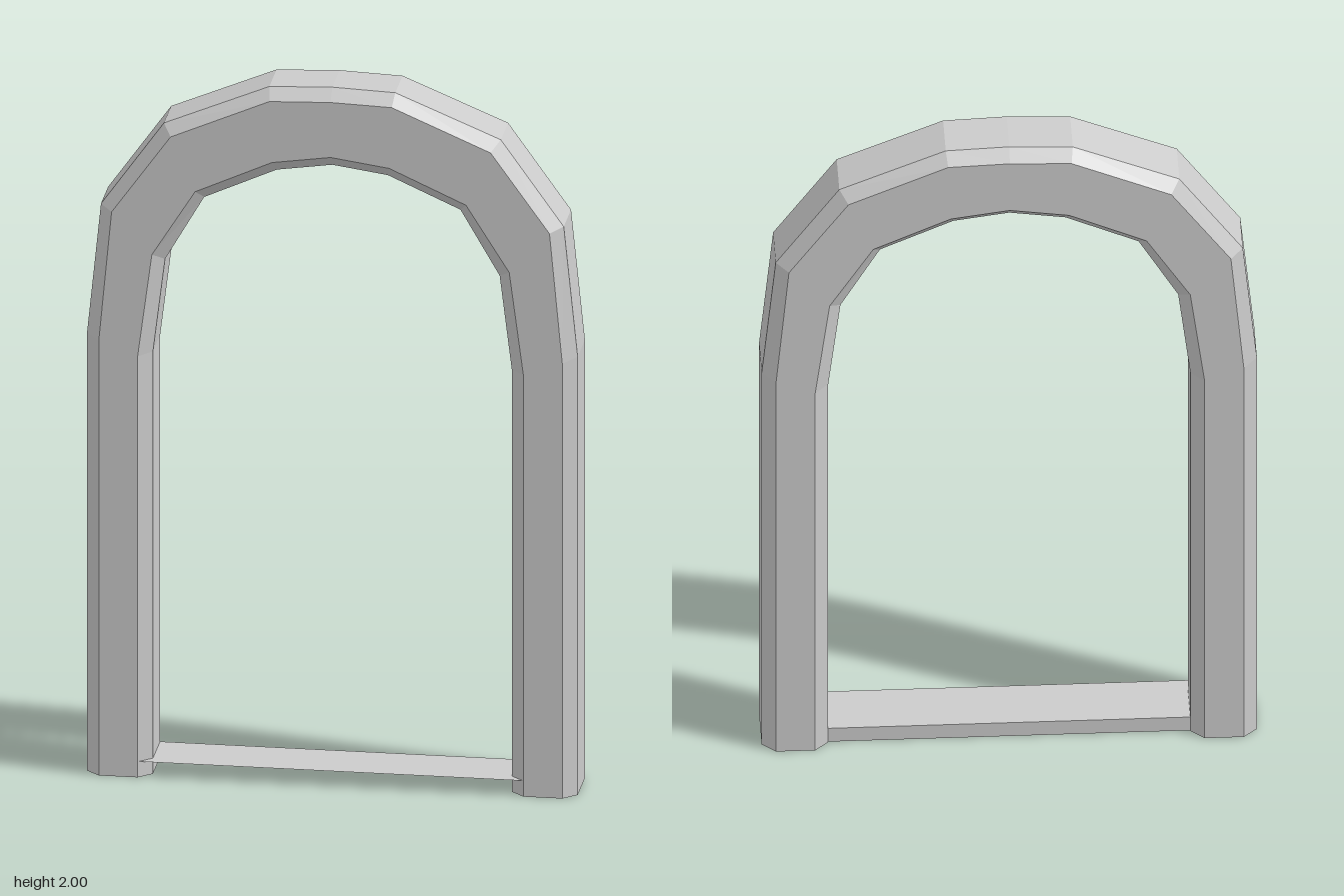
import * as THREE from 'three';

const material = new THREE.MeshStandardMaterial({
  color: 0xcccccc, flatShading: true, side: THREE.DoubleSide,
});

// Half outlines [x, y] from foot to crown: outer wall, the two face edges, inner wall
const OUTER = [[0.67, 0], [0.67, 1.26], [0.632, 1.632], [0.46, 1.873], [0.172, 1.993], [0, 2]];
const FACE_OUTER = [[0.633, 0], [0.633, 1.25], [0.598, 1.622], [0.437, 1.846], [0.167, 1.962], [0, 1.968]];
const FACE_INNER = [[0.527, 0], [0.527, 1.21], [0.488, 1.505], [0.37, 1.692], [0.16, 1.787], [0, 1.81]];
const INNER = [[0.49, 0], [0.49, 1.215], [0.457, 1.482], [0.35, 1.666], [0.152, 1.755], [0, 1.777]];
const FACE_Z = 0.102, WALL_Z = 0.068;

// Mirror a half outline into a full arch, +x foot to -x foot
function fullArch(half) {
  const mirrored = half.slice(0, -1).reverse().map(([x, y]) => [-x, y]);
  return [...half, ...mirrored];
}

// Chamfered eight-sided section swept along the arch, open at the feet
function archGeometry() {
  const rails = [
    [OUTER, -WALL_Z], [OUTER, WALL_Z], [FACE_OUTER, FACE_Z], [FACE_INNER, FACE_Z],
    [INNER, WALL_Z], [INNER, -WALL_Z], [FACE_INNER, -FACE_Z], [FACE_OUTER, -FACE_Z],
  ].map(([half, z]) => fullArch(half).map(([x, y]) => [x, y, z]));
  const sides = rails.length, stations = rails[0].length;
  const positions = [], index = [];
  for (let s = 0; s < stations; s++) {
    for (let r = 0; r < sides; r++) {
      positions.push(...rails[r][s]);
      if (s === stations - 1) continue;
      const a = s * sides + r, b = s * sides + (r + 1) % sides;
      const c = a + sides, d = b + sides;
      index.push(a, c, b, b, c, d);
    }
  }
  const geometry = new THREE.BufferGeometry();
  geometry.setAttribute('position', new THREE.Float32BufferAttribute(positions, 3));
  geometry.setIndex(index);
  const flat = geometry.toNonIndexed();
  flat.computeVertexNormals();
  return flat;
}

export function createModel() {
  const model = new THREE.Group();
  model.name = 'archedFrame';

  const arch = new THREE.Mesh(archGeometry(), material);
  arch.name = 'arch';
  model.add(arch);

  // Threshold: a thin tread and a riser along its back edge
  const width = 1.18, height = 0.045, back = -0.065, front = 0.1;
  const threshold = new THREE.Group();
  threshold.name = 'threshold';
  const tread = new THREE.Mesh(new THREE.PlaneGeometry(width, front - back), material);
  tread.name = 'thresholdTread';
  tread.rotation.x = -Math.PI / 2;
  tread.position.set(0, height, (front + back) / 2);
  const riser = new THREE.Mesh(new THREE.PlaneGeometry(width, height), material);
  riser.name = 'thresholdRiser';
  riser.rotation.y = Math.PI;
  riser.position.set(0, height / 2, back);
  threshold.add(tread, riser);
  model.add(threshold);

  return model;
}
